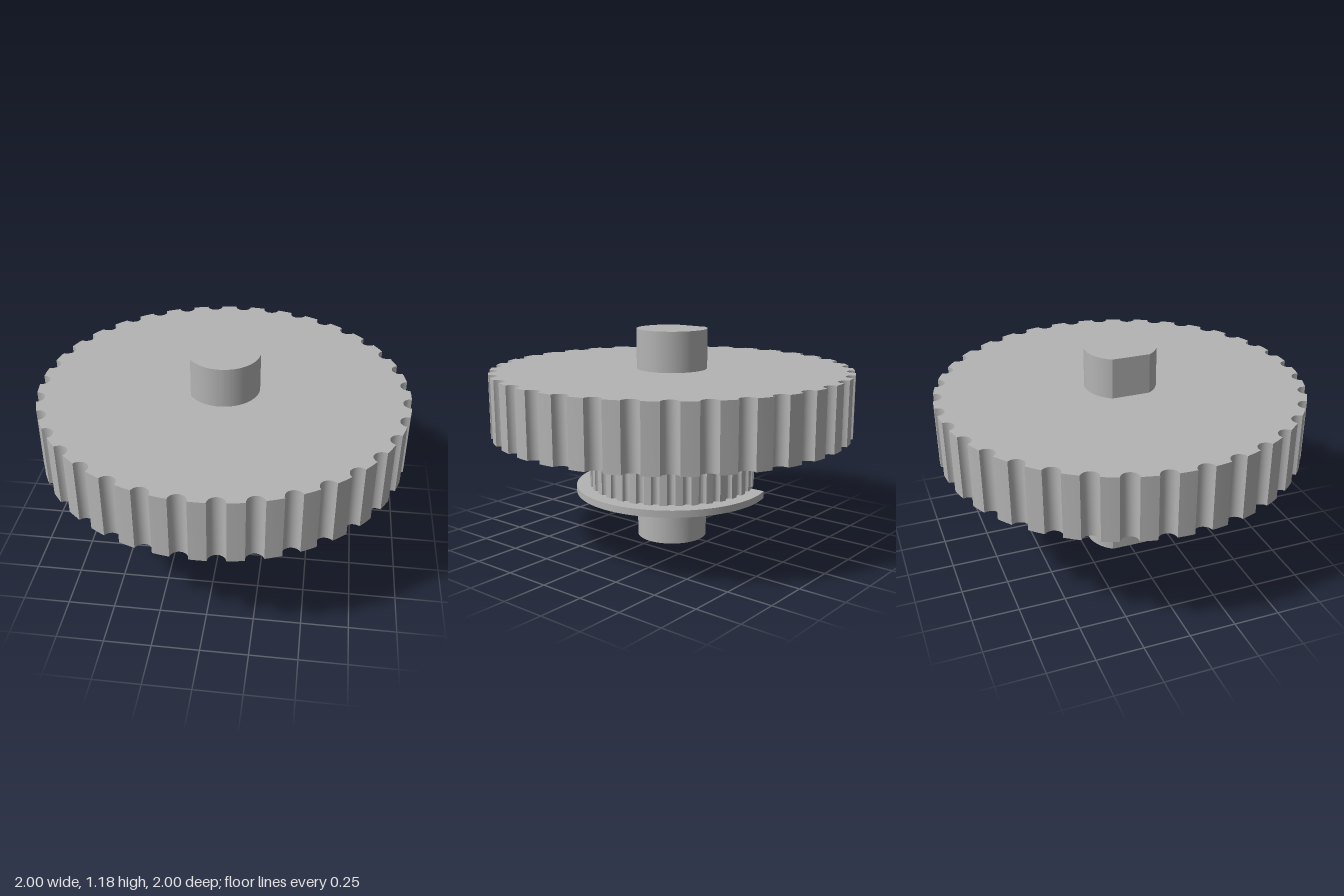
import * as THREE from 'three';
import { toCreasedNormals } from 'three/addons/utils/BufferGeometryUtils.js';

const metal = new THREE.MeshStandardMaterial({ color: 0xb4b4b4 });
metal.name = 'grey';

// Extrude a plan outline (shape y = back) upwards from y0 to y1
function slab(name, shape, y0, y1) {
  const geo = new THREE.ExtrudeGeometry(shape, { depth: y1 - y0, bevelEnabled: false, curveSegments: 64 });
  geo.rotateX(-Math.PI / 2).translate(0, y0, 0);
  const mesh = new THREE.Mesh(toCreasedNormals(geo, 0.5), metal);
  mesh.name = name;
  return mesh;
}

// Disc, cut straight at x = flat when given
function disc(radius, flat = -radius) {
  const a = Math.acos(flat / radius);
  const shape = new THREE.Shape();
  shape.absarc(0, 0, radius, -a, a, false);
  shape.closePath();
  return shape;
}

// Pulley outline with round grooves around the rim, one at the back
function pulley(radius, count, groove) {
  const pts = [];
  const half = 2 * Math.asin(groove / (2 * radius));
  const steps = 10;
  for (let i = 0; i < count; i++) {
    const a = Math.PI / 2 + (i * 2 * Math.PI) / count;
    const cx = radius * Math.cos(a), cy = radius * Math.sin(a);
    const sweep = Math.PI / 2 - half / 2;
    for (let k = 0; k <= steps; k++) {
      const t = a + Math.PI + sweep * (1 - (2 * k) / steps);
      pts.push(new THREE.Vector2(cx + groove * Math.cos(t), cy + groove * Math.sin(t)));
    }
    // Middle of the land between two grooves
    const m = a + Math.PI / count;
    pts.push(new THREE.Vector2(radius * Math.cos(m), radius * Math.sin(m)));
  }
  return new THREE.Shape(pts);
}

export function createModel() {
  const group = new THREE.Group();
  group.name = 'doublePulley';
  const flat = -0.165, shaftR = 0.195;

  // Shaft with a flat side and a blind bore in its lower end
  const boreDepth = 0.25;
  const bored = disc(shaftR, flat);
  const bore = new THREE.Path();
  bore.absarc(0, 0, 0.063, 0, Math.PI * 2, true);
  bored.holes.push(bore);
  group.add(slab('shaftLowerEnd', bored, 0, boreDepth));
  group.add(slab('shaft', disc(shaftR, flat), boreDepth, 1.18));

  // Small pulley between two flanges, the lower one cut flush with the shaft flat
  group.add(slab('lowerFlange', disc(0.54, flat), 0.267, 0.305));
  group.add(slab('smallPulley', pulley(0.465, 35, 0.022), 0.305, 0.573));
  group.add(slab('upperFlange', disc(0.54), 0.573, 0.614));

  // Large pulley
  group.add(slab('largePulley', pulley(1, 35, 0.046), 0.614, 0.96));
  return group;
}
